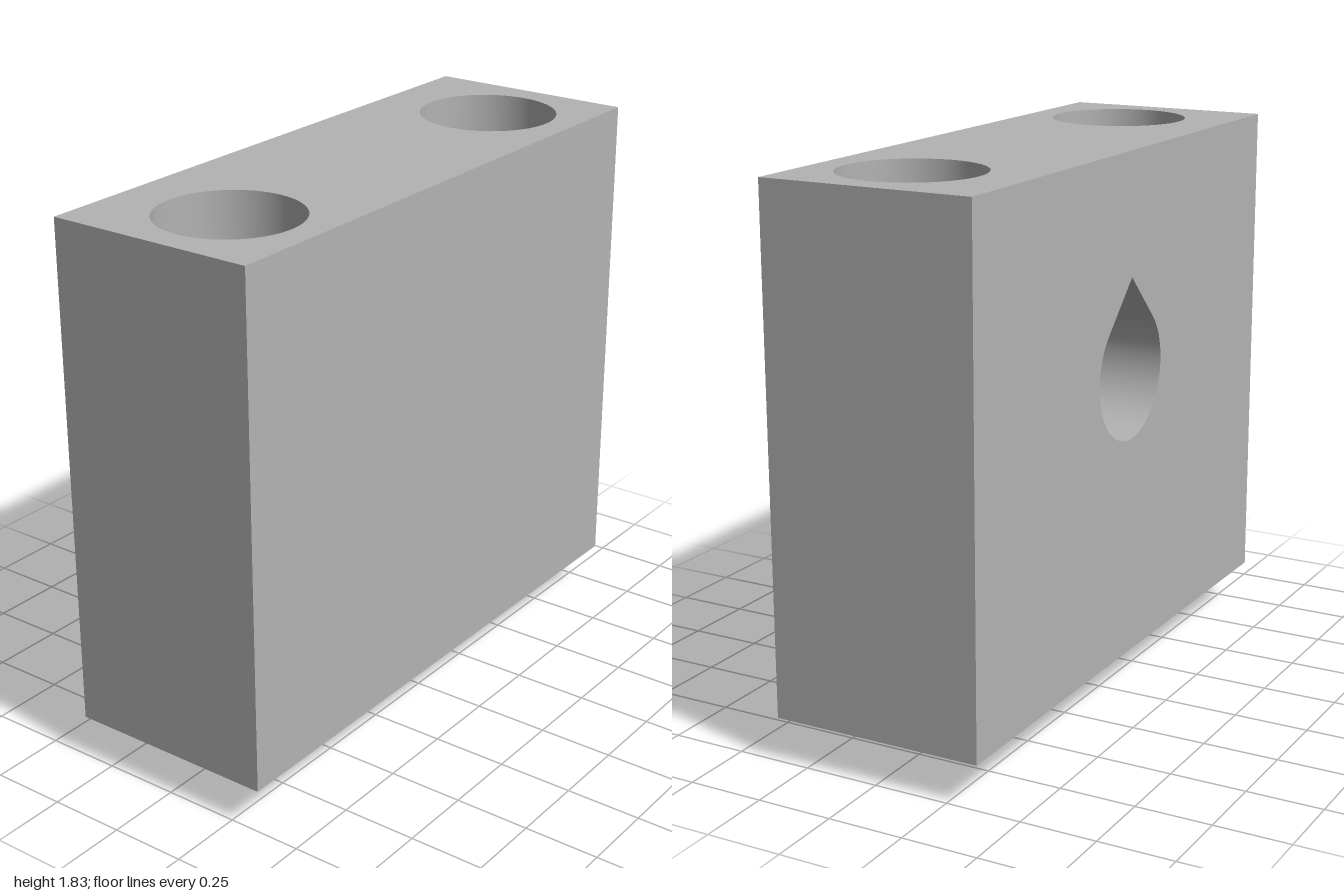
import * as THREE from 'three';
import { toCreasedNormals } from 'three/addons/utils/BufferGeometryUtils.js';

const W = 0.71, L = 2, Y0 = 0.145, Y1 = 1.825;   // block size and base / top heights
const BORE_X = 0.035, BORE_Z = 0.68, BORE_R = 0.23, HOLE_R = 0.123, SEAT_Y = 0.75;
const TEAR_Y = 1.106, TEAR_R = 0.222, TEAR_DEPTH = 0.5;

export function createModel() {
  const grey = new THREE.MeshStandardMaterial({ color: 0xb3b3b3 });
  grey.name = 'grey';
  const model = new THREE.Group();
  model.name = 'mountingBlock';

  const add = (name, geometry, x = 0, y = 0, z = 0) => {
    const mesh = new THREE.Mesh(geometry, grey);
    mesh.name = name;
    mesh.position.set(x, y, z);
    model.add(mesh);
    return mesh;
  };

  // flat rectangular face centred on its origin, with optional holes
  const face = (w, h, holes = []) => {
    const s = new THREE.Shape([[-w, -h], [w, -h], [w, h], [-w, h]].map(([a, b]) => new THREE.Vector2(a / 2, b / 2)));
    s.holes.push(...holes);
    return new THREE.ShapeGeometry(s, 32);
  };
  const circles = r => [-BORE_Z, BORE_Z].map(z => {
    const p = new THREE.Path();
    p.absarc(BORE_X, z, r, 0, Math.PI * 2, true);
    return p;
  });
  const lathe = pts => toCreasedNormals(
    new THREE.LatheGeometry(pts.map(p => new THREE.Vector2(...p)), 64), 0.6);

  // teardrop: a circle whose upper quarter runs along tangents to a 90 degree tip
  const tearRadius = t => {
    const a = Math.abs(t), q = Math.PI / 4;
    return a < q ? TEAR_R / Math.cos(q - a) : TEAR_R;
  };
  const tearPoints = [];
  for (let i = 0; i < 64; i++) {
    const t = -Math.PI + i * Math.PI / 32, r = tearRadius(t);
    tearPoints.push(new THREE.Vector2(r * Math.sin(t), r * Math.cos(t)));
  }
  const midY = (Y0 + Y1) / 2, H = Y1 - Y0;
  const tearHole = new THREE.Path(tearPoints.map(p => new THREE.Vector2(p.x, p.y + TEAR_Y - midY)));

  // block faces
  add('topFace', face(W, L, circles(BORE_R)).rotateX(-Math.PI / 2), 0, Y1, 0);
  add('bottomFace', face(W, L, circles(HOLE_R)).rotateX(Math.PI / 2), 0, Y0, 0);
  add('frontFace', face(W, H), 0, midY, L / 2);
  add('backFace', face(W, H).rotateY(Math.PI), 0, midY, -L / 2);
  add('leftFace', face(L, H).rotateY(Math.PI / 2), W / 2, midY, 0);
  add('rightFace', face(L, H, [tearHole]).rotateY(-Math.PI / 2), -W / 2, midY, 0);

  // counterbored screw holes, running top to bottom so the walls face inward
  for (const side of [1, -1]) {
    add(side > 0 ? 'frontScrewHole' : 'backScrewHole',
      lathe([[BORE_R, Y1], [BORE_R, SEAT_Y], [HOLE_R, SEAT_Y], [HOLE_R, Y0]]),
      BORE_X, 0, side * BORE_Z);
  }

  // blind teardrop pocket: an open cylinder laid on its side and reshaped
  const wall = new THREE.CylinderGeometry(1, 1, 1, 64, 1, true);
  const pos = wall.attributes.position;
  for (let i = 0; i < pos.count; i++) {
    const t = Math.atan2(pos.getX(i), pos.getZ(i)), r = tearRadius(t);
    pos.setXYZ(i, -W / 2 + (pos.getY(i) > 0 ? TEAR_DEPTH : 0), TEAR_Y + r * Math.cos(t), r * Math.sin(t));
  }
  wall.index.array.reverse();
  add('pocketWall', toCreasedNormals(wall, 0.6));
  add('pocketFloor', new THREE.ShapeGeometry(new THREE.Shape(tearPoints)).rotateY(-Math.PI / 2),
    -W / 2 + TEAR_DEPTH, TEAR_Y, 0);

  // locating pin with chamfered tip and flared root
  add('locatingPin', lathe([[0, 0], [0.148, 0], [0.178, 0.03], [0.178, 0.115],
    [0.181, 0.128], [0.188, 0.139], [0.2, Y0]]), -0.018, 0, 0);

  return model;
}
